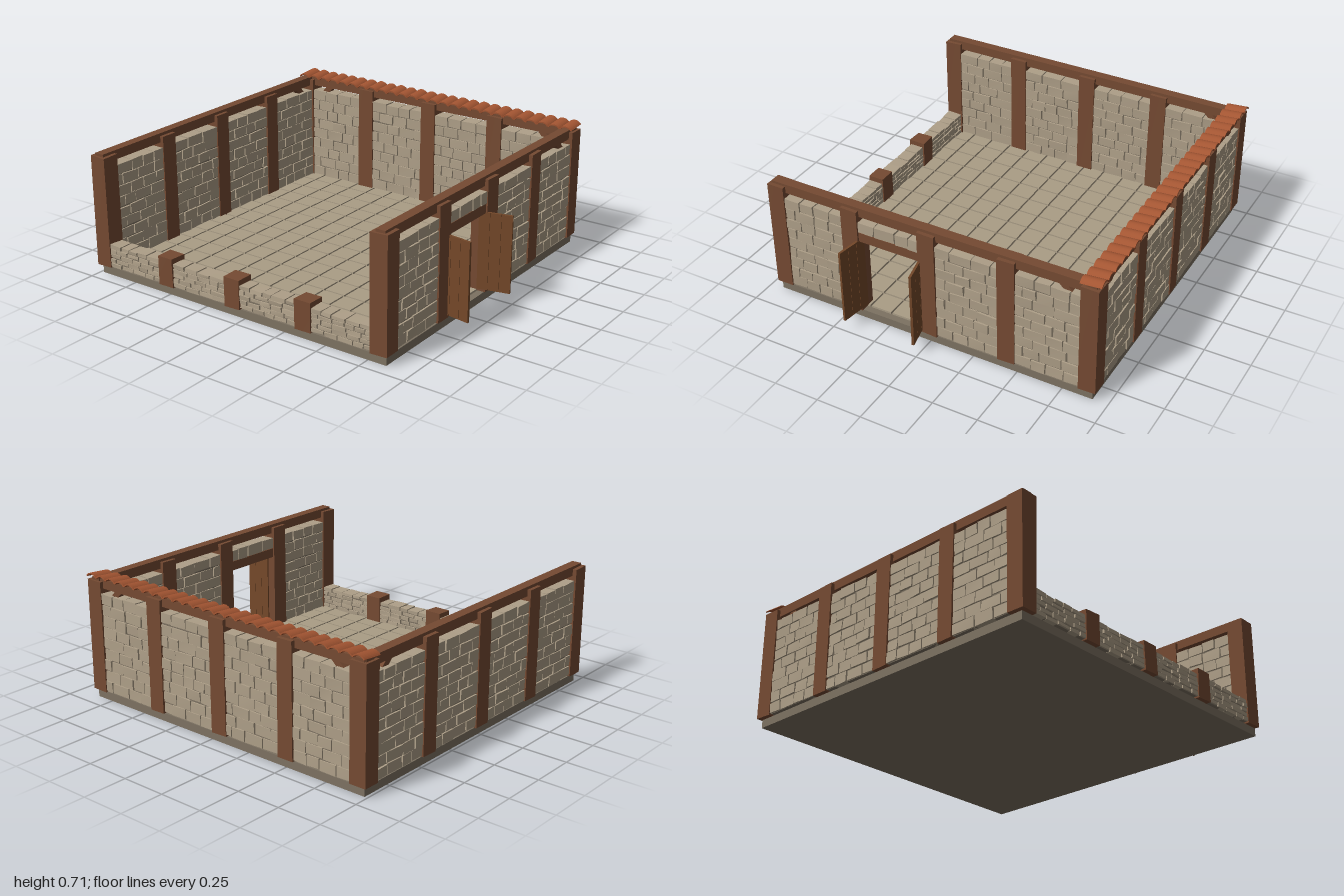
import * as THREE from 'three';
import { mergeGeometries } from 'three/addons/utils/BufferGeometryUtils.js';

const CX = -0.067, CZ = 0.005;         // centre of the building
const HX = 0.887, HZ = 0.893;          // centre lines of the walls
const POST = 0.096, FLOOR = 0.055, WALL_TOP = 0.605;

export function createModel() {
  const root = new THREE.Group();
  root.name = 'stoneRoom';
  const paint = (name, color, extra = {}) => {
    const m = new THREE.MeshStandardMaterial({ color, ...extra });
    m.name = name;
    return m;
  };
  const stone = paint('stone', 0xae9f88);
  const paving = paint('paving', 0xaa9d86);
  const mortar = paint('mortar', 0x7d7262);
  const wood = paint('wood', 0x754a32);
  const doorWood = paint('doorWood', 0x744829);
  const clay = paint('clay', 0xa35532, { side: THREE.DoubleSide });

  let seed = 7;
  const rnd = () => {
    seed = (seed * 16807) % 2147483647;
    return seed / 2147483647 - 0.5;
  };

  const add = (geo, mat, name, parent = root) => {
    const m = new THREE.Mesh(geo, mat);
    m.name = name;
    parent.add(m);
    return m;
  };
  const boxAt = (w, h, d, x, y, z) => new THREE.BoxGeometry(w, h, d).translate(x, y, z);

  // Box with its eight corners nudged, for hand-hewn stone and timber
  const rough = (w, h, d, x, y, z, j) => {
    const g = new THREE.BoxGeometry(w, h, d);
    const off = Array.from({ length: 24 }, () => rnd() * j);
    const p = g.attributes.position;
    for (let i = 0; i < p.count; i++) {
      const c = 3 * ((p.getX(i) > 0 ? 1 : 0) + (p.getY(i) > 0 ? 2 : 0) + (p.getZ(i) > 0 ? 4 : 0));
      p.setXYZ(i, p.getX(i) + off[c], p.getY(i) + off[c + 1], p.getZ(i) + off[c + 2]);
    }
    g.computeVertexNormals();
    return g.translate(x, y, z);
  };

  // One bay of coursed stone on a mortar core, running along local x
  const bay = (name, x, z, turn, len, y0, y1, rows, size) => {
    const g = new THREE.Group();
    g.name = name;
    g.position.set(x, 0, z);
    g.rotation.y = turn;
    const rowH = (y1 - y0) / rows, parts = [];
    for (let r = 0; r < rows; r++) {
      let a = -len / 2;
      let next = a + size * (r % 2 ? 0.55 : 1) * (1 + rnd() * 0.4);
      while (a < len / 2 - 0.001) {
        if (len / 2 - next < size * 0.4) next = len / 2;
        const h = rowH - 0.006 + rnd() * 0.006;
        parts.push(rough(next - a - 0.006, h, 0.082 + rnd() * 0.01, (a + next) / 2,
          y0 + (r + 0.5) * rowH + rnd() * 0.003, 0, 0.005));
        a = next;
        next = a + size * (1 + rnd() * 0.5);
      }
    }
    add(mergeGeometries(parts), stone, name + 'Stones', g);
    add(boxAt(len, y1 - y0 - 0.012, 0.066, 0, (y0 + y1) / 2 - 0.004, 0), mortar, name + 'Mortar', g);
    root.add(g);
  };

  // Foundation slab and paved floor
  add(boxAt(1.838, 0.045, 1.843, CX + 0.003, 0.0225, CZ), mortar, 'foundation');
  const tiles = [], T = 0.127;
  for (let i = 0; i < 14; i++) for (let k = 0; k < 14; k++) {
    tiles.push(boxAt(T - 0.01, 0.012, T - 0.01, CX + (i - 6.5) * T, 0.05, CZ + (k - 6.5) * T));
  }
  add(mergeGeometries(tiles), paving, 'floorTiles');

  // Posts: full height on three sides, short ones along the front
  const stepX = HX / 2, stepZ = HZ / 2;
  for (let i = -2; i <= 2; i++) for (let k = -2; k <= 2; k++) {
    if (Math.abs(i) < 2 && Math.abs(k) < 2) continue;
    const short = k === 2 && Math.abs(i) < 2;
    const top = short ? 0.21 : 0.666, h = top - 0.05;
    add(rough(POST, h, POST, CX + i * stepX, 0.05 + h / 2, CZ + k * stepZ, 0.004), wood,
      short ? 'lowPost' : 'post');
  }

  // Stone walls, bay by bay
  const lenX = stepX - POST + 0.01, lenZ = stepZ - POST + 0.01;
  for (let b = 0; b < 4; b++) {
    const x = CX + (b - 1.5) * stepX, z = CZ + (b - 1.5) * stepZ;
    bay('backWall', x, CZ - HZ, 0, lenX, FLOOR, WALL_TOP, 9, 0.1);
    bay('frontLowWall', x, CZ + HZ, 0, lenX, FLOOR, 0.185, 5, 0.074);
    bay('rightWall', CX - HX, z, Math.PI / 2, lenZ, FLOOR, WALL_TOP, 9, 0.1);
    // The doorway leaves only a strip of stone above its lintel
    if (b === 2) bay('overDoorWall', CX + HX, z, Math.PI / 2, lenZ, 0.538, WALL_TOP, 1, 0.1);
    else bay('leftWall', CX + HX, z, Math.PI / 2, lenZ, FLOOR, WALL_TOP, 9, 0.1);
  }

  // Top beams
  for (const s of [-1, 1]) {
    add(boxAt(0.055, 0.052, 1.855, CX + s * HX, 0.655, CZ), wood, 'sideBeam');
  }
  add(boxAt(1.84, 0.05, 0.055, CX, 0.654, CZ - HZ), wood, 'backBeam');

  // Knee braces in the two back corners
  for (const s of [-1, 1]) {
    const back = add(new THREE.BoxGeometry(0.165, 0.034, 0.04), wood, 'backBrace');
    back.position.set(CX + s * (HX - 0.107), 0.58, CZ - HZ);
    back.rotation.z = -s * Math.PI / 4;
    const side = add(new THREE.BoxGeometry(0.04, 0.034, 0.165), wood, 'sideBrace');
    side.position.set(CX + s * HX, 0.58, CZ - HZ + 0.107);
    side.rotation.x = -Math.PI / 4;
  }

  // Door lintel and two open plank leaves
  const doorZ = CZ + stepZ / 2;
  add(boxAt(0.075, 0.053, 0.38, CX + HX, 0.512, doorZ), wood, 'doorLintel');
  for (const [z, turn] of [[0.057, 0.22], [0.403, -0.15]]) {
    const leaf = new THREE.Group();
    leaf.name = 'doorLeaf';
    leaf.position.set(CX + HX, 0, z);
    leaf.rotation.y = turn;
    for (let i = 0; i < 3; i++) {
      add(boxAt(0.058, 0.425, 0.013, 0.031 + i * 0.0595, 0.278, 0), doorWood, 'doorPlank', leaf);
    }
    root.add(leaf);
  }

  // Row of curved clay tiles capping the back wall, rising outwards
  const N = 26, pitch = 1.862 / N, arc = new THREE.Shape();
  const half = pitch * 0.52, R = 0.046, ang = Math.asin(half / R), cy = -R * Math.cos(ang);
  arc.absarc(0, cy, R, Math.PI / 2 - ang, Math.PI / 2 + ang, false);
  arc.absarc(0, cy, R - 0.007, Math.PI / 2 + ang, Math.PI / 2 - ang, true);
  arc.closePath();
  const tile = new THREE.ExtrudeGeometry(arc, { depth: 0.115, bevelEnabled: false, curveSegments: 6 });
  tile.translate(0, 0, -0.0575);
  for (let i = 0; i < N; i++) {
    const t = add(tile, clay, 'roofTile');
    t.position.set(CX + (i - (N - 1) / 2) * pitch, 0.685 + (i % 2) * 0.001, CZ - HZ);
    t.rotation.x = 0.08;
  }
  return root;
}
